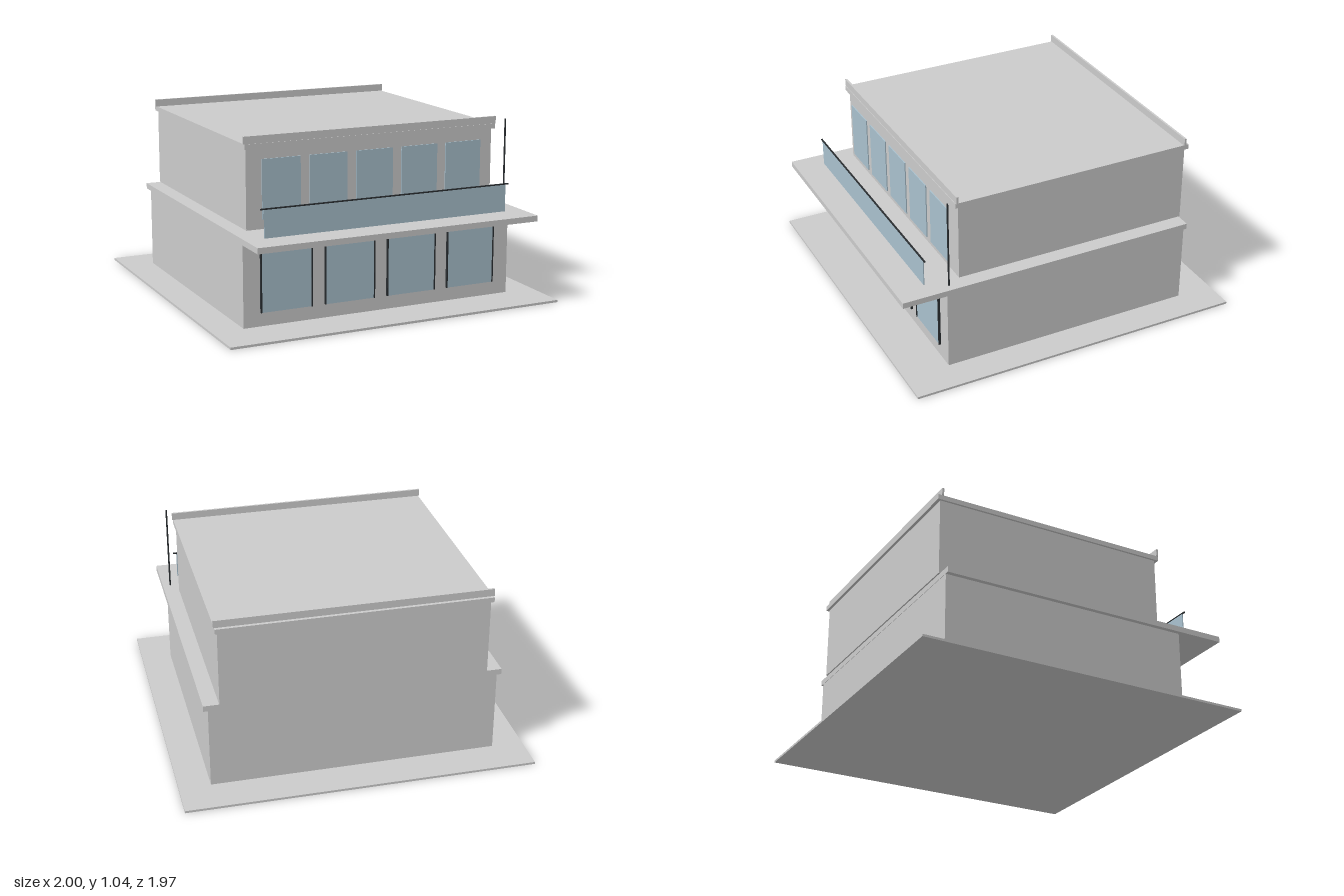
import * as THREE from 'three';

export function createModel() {
  const group = new THREE.Group();
  const wall = new THREE.MeshStandardMaterial({ color: 0xcccccc });
  const glass = new THREE.MeshStandardMaterial({ color: 0xa9c1ce });
  const dark = new THREE.MeshStandardMaterial({ color: 0x2a2e31 });

  // Box given by its extents on each axis
  function block(name, [x0, x1], [y0, y1], [z0, z1], material = wall) {
    const mesh = new THREE.Mesh(new THREE.BoxGeometry(x1 - x0, y1 - y0, z1 - z0), material);
    mesh.position.set((x0 + x1) / 2, (y0 + y1) / 2, (z0 + z1) / 2);
    mesh.name = name;
    group.add(mesh);
  }
  const around = (c, size) => [c - size / 2, c + size / 2];

  // Storeys, balcony slab and roof
  block('groundPlate', [-1, 1], [0, 0.013], [-0.985, 0.985]);
  block('lowerStorey', [-0.82, 0.82], [0.013, 0.49], [-0.77, 0.72]);
  block('balconySlab', [-0.846, 0.846], [0.49, 0.523], [-0.772, 0.988]);
  block('upperStorey', [-0.757, 0.757], [0.523, 0.967], [-0.78, 0.62]);
  block('roofSlab', [-0.77, 0.77], [0.967, 0.995], [-0.797, 0.64]);
  block('frontParapet', [-0.776, 0.776], [0.995, 1.037], [0.625, 0.637]);
  block('backParapet', [-0.776, 0.776], [0.995, 1.037], [-0.778, -0.766]);

  // Shopfront panes with slim dark posts on both sides
  for (let i = 0; i < 4; i++) {
    const x = (i - 1.5) * 0.38;
    block('lowerWindow', around(x, 0.3), [0.09, 0.436], [0.72, 0.729], glass);
    for (const side of [-1, 1]) {
      block('windowPost', around(x + side * 0.149, 0.007), [0.09, 0.436], [0.72, 0.733], dark);
    }
  }

  // Upper window panels, set just ahead of the wall
  for (let i = 0; i < 5; i++) {
    block('upperWindow', around((i - 2) * 0.28, 0.226), [0.58, 0.91], around(0.641, 0.006), glass);
  }

  // Balcony balustrade and handrail
  block('balustradeGlass', [-0.737, 0.737], [0.523, 0.678], around(0.817, 0.005), glass);
  block('handrail', [-0.757, 0.757], [0.677, 0.684], around(0.817, 0.008), dark);

  // Slim pole at the balcony corner
  const pole = new THREE.Mesh(new THREE.CylinderGeometry(0.005, 0.005, 0.507, 10), dark);
  pole.position.set(0.8, 0.7765, 0.7);
  pole.name = 'balconyPole';
  group.add(pole);

  return group;
}
